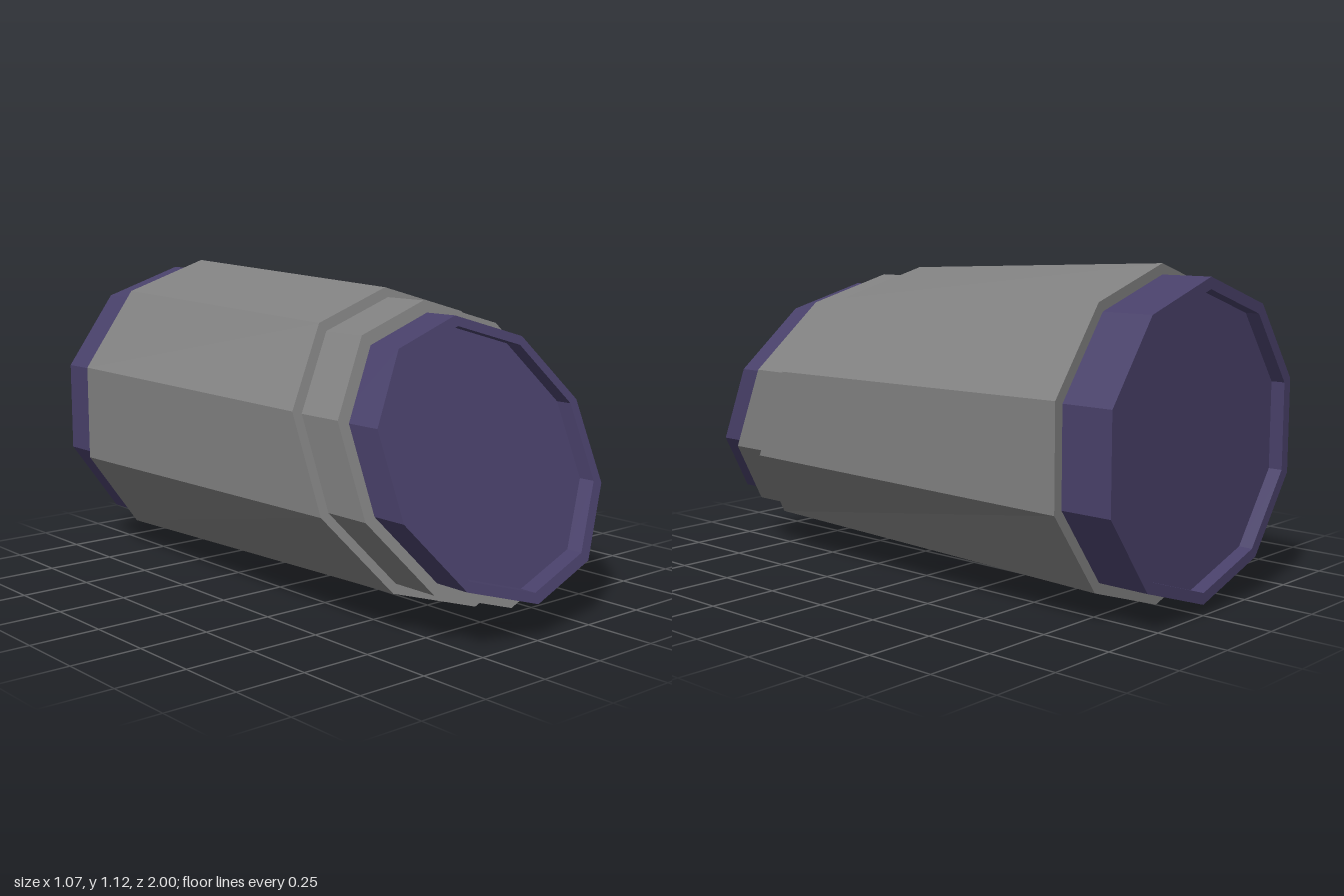
import * as THREE from 'three';

const SIDES = 10;
const AXIS_Y = 0.566; // height of the long axis
const TILT = 0.413;   // backward lean of the front faces

// Decagon ring with a corner at the top, leaning back by tilt
function ringPoints([r, z, tilt = 0]) {
  return Array.from({ length: SIDES }, (_, i) => {
    const a = (i / SIDES) * Math.PI * 2;
    const up = r * Math.cos(a);
    return [r * Math.sin(a), AXIS_Y + up * Math.cos(tilt), z - up * Math.sin(tilt)];
  });
}

// Flat-sided skin through rings listed from back to front; radius 0 closes an end
function loft(name, material, rings) {
  const pos = [];
  for (let k = 0; k < rings.length - 1; k++) {
    const back = ringPoints(rings[k]);
    const front = ringPoints(rings[k + 1]);
    for (let i = 0; i < SIDES; i++) {
      const j = (i + 1) % SIDES;
      if (rings[k + 1][0] > 0) pos.push(...back[i], ...front[i], ...front[j]);
      if (rings[k][0] > 0) pos.push(...back[i], ...front[j], ...back[j]);
    }
  }
  const geometry = new THREE.BufferGeometry();
  geometry.setAttribute('position', new THREE.Float32BufferAttribute(pos, 3));
  geometry.computeVertexNormals();
  const mesh = new THREE.Mesh(geometry, material);
  mesh.name = name;
  return mesh;
}

export function createModel() {
  const grey = new THREE.MeshStandardMaterial({ name: 'grey', color: 0x808080 });
  const purple = new THREE.MeshStandardMaterial({ name: 'purple', color: 0x484069 });

  const model = new THREE.Group();
  model.name = 'slantedBarrel';
  model.add(
    // Main shell: square back, slanted front
    loft('mainShell', grey, [
      [0, -0.815], [0.562, -0.815], [0.562, 0.5, TILT], [0, 0.5, TILT],
    ]),
    // Stepped collar in front of the shell
    loft('frontCollar', grey, [
      [0, 0.45, TILT], [0.526, 0.45, TILT], [0.526, 0.675, TILT], [0, 0.675, TILT],
    ]),
    // Slanted front cap with a thin rim and recessed face
    loft('frontCap', purple, [
      [0, 0.62, TILT], [0.483, 0.62, TILT], [0.483, 0.806, TILT],
      [0.446, 0.806, TILT], [0.446, 0.746, TILT], [0, 0.746, TILT],
    ]),
    // Square back cap with a thin rim and recessed face
    loft('backCap', purple, [
      [0, -0.95], [0.487, -0.95], [0.487, -1], [0.526, -1],
      [0.526, -0.79], [0, -0.79],
    ]),
  );
  return model;
}
